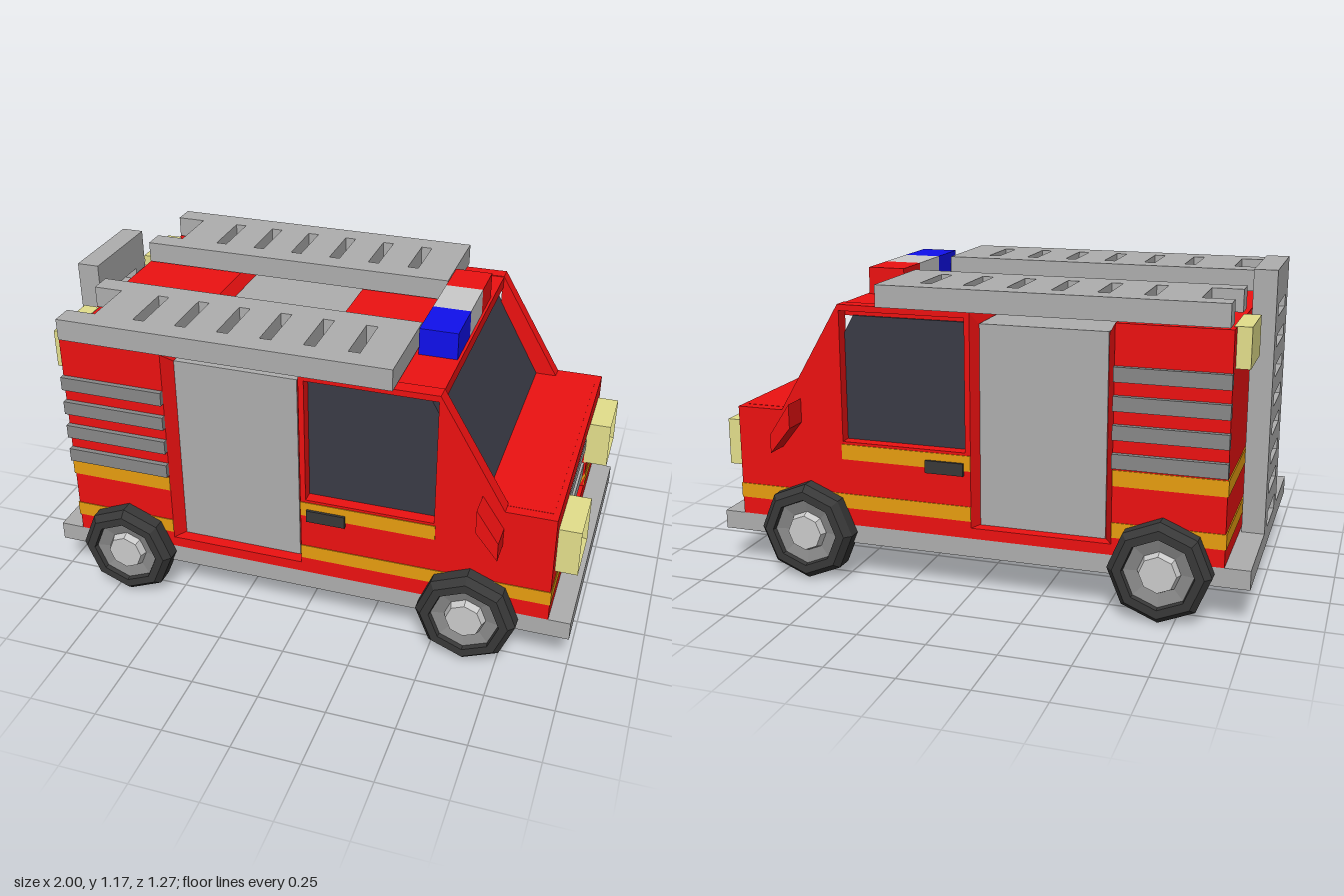
import * as THREE from 'three';

const RED = 0xee1111, GREY = 0xafafaf, DARK_GREY = 0x888888, ORANGE = 0xe89e10,
  CREAM = 0xe4e08c, GLASS = 0x3a3b46, BLACK = 0x383838, WHITE = 0xcccccc, BLUE = 0x1010ee;

export function createModel() {
  const model = new THREE.Group();
  model.name = 'fireTruck';
  const truck = new THREE.Group();
  truck.name = 'truck';
  truck.position.z = -0.01;
  model.add(truck);

  const materials = {};
  const mat = (color) => (materials[color] ??= new THREE.MeshStandardMaterial({ color, flatShading: true }));

  function add(name, geometry, color) {
    const mesh = new THREE.Mesh(geometry, mat(color));
    mesh.name = name;
    truck.add(mesh);
    return mesh;
  }

  // Box given by its limits on each axis
  function box(name, color, x0, x1, y0, y1, z0, z1) {
    const g = new THREE.BoxGeometry(x1 - x0, y1 - y0, Math.abs(z1 - z0));
    g.translate((x0 + x1) / 2, (y0 + y1) / 2, (z0 + z1) / 2);
    return add(name, g, color);
  }

  // Rectangular cross-sections [x, z0, z1, y0, y1] joined along x
  function loft(name, color, sections) {
    const pos = [], index = [];
    for (const [x, z0, z1, y0, y1] of sections) {
      pos.push(x, y0, z1, x, y0, z0, x, y1, z0, x, y1, z1);
    }
    for (let i = 0; i < sections.length - 1; i++) {
      for (let k = 0; k < 4; k++) {
        const a = i * 4 + k, b = i * 4 + (k + 1) % 4;
        index.push(a, b, b + 4, a, b + 4, a + 4);
      }
    }
    const e = (sections.length - 1) * 4;
    index.push(0, 2, 1, 0, 3, 2, e, e + 1, e + 2, e, e + 2, e + 3);
    const g = new THREE.BufferGeometry();
    g.setAttribute('position', new THREE.Float32BufferAttribute(pos, 3));
    g.setIndex(index);
    const flat = g.toNonIndexed();
    flat.computeVertexNormals();
    return add(name, flat, color);
  }

  const shape = (points) => new THREE.Shape(points.map(([x, y]) => new THREE.Vector2(x, y)));
  const rectPath = (x0, x1, y0, y1) => new THREE.Path(
    [[x0, y0], [x0, y1], [x1, y1], [x1, y0]].map(([x, y]) => new THREE.Vector2(x, y)));
  const extrude = (s, depth) => new THREE.ExtrudeGeometry(s, { depth, bevelEnabled: false });

  // Slotted ladder lying along +x, with an open notch at x = 0
  function ladderGeometry(length, half, slotHalf, notch, depth, slots, slotWidth) {
    const s = shape([[0, -half], [length, -half], [length, half], [0, half],
      [0, slotHalf], [notch, slotHalf], [notch, -slotHalf], [0, -slotHalf]]);
    for (const x of slots) s.holes.push(rectPath(x, x + slotWidth, -slotHalf, slotHalf));
    return extrude(s, depth);
  }

  // Base plate and bumpers
  box('basePlate', GREY, -1, 1, 0.14, 0.21, -0.54, 0.54);

  // Rear body, with a shallow channel for the shutter
  loft('rearBody', RED, [
    [-0.91, -0.54, 0.54, 0.21, 1.03], [-0.515, -0.54, 0.54, 0.21, 1.03],
    [-0.485, -0.49, 0.49, 0.21, 0.985], [-0.02, -0.49, 0.49, 0.21, 0.985],
    [0, -0.54, 0.54, 0.21, 1.035], [0.015, -0.54, 0.54, 0.21, 1.035],
  ]);
  box('shutter', GREY, -0.484, -0.021, 0.25, 0.99, -0.495, 0.495);
  box('shutterSill', RED, -0.515, 0, 0.21, 0.25, -0.54, 0.54);

  // Cab core, roof and windscreen
  box('cabCore', RED, 0, 0.89, 0.21, 0.63, -0.487, 0.487);
  box('cabRoof', RED, 0, 0.5, 0.99, 1.035, -0.487, 0.487);
  const glass = extrude(shape([[0.005, 0.525], [0.66, 0.525], [0.66, 0.63], [0.46, 0.992], [0.005, 0.992]]), 0.99);
  add('cabGlass', glass.translate(0, 0, -0.495), GLASS);
  box('bonnetRear', RED, 0.655, 0.9, 0.5, 0.631, -0.5, 0.5);

  // Nose panel around the recessed grille
  box('nosePanelTop', RED, 0.88, 0.92, 0.56, 0.63, -0.487, 0.487);
  box('nosePanelBottom', RED, 0.88, 0.92, 0.21, 0.272, -0.487, 0.487);
  for (const [y0, y1] of [[0.32, 0.38], [0.44, 0.49]]) {
    box('grilleBar', GREY, 0.88, 0.912, y0, y1, -0.26, 0.26);
  }

  for (const s of [1, -1]) {
    // Cab side with window opening and sloping pillar
    const side = shape([[0, 0.21], [0.92, 0.21], [0.92, 0.63], [0.74, 0.63], [0.5, 1.038], [0, 1.035]]);
    side.holes.push(rectPath(0.02, 0.495, 0.53, 1.015));
    add('cabSide', extrude(side, 0.055).translate(0, 0, s > 0 ? 0.485 : -0.54), RED);

    box('nosePanelSide', RED, 0.88, 0.92, 0.27, 0.565, s * 0.26, s * 0.487);

    // Headlight with a dished face
    const [za, zb] = s > 0 ? [0.26, 0.485] : [-0.485, -0.26];
    loft('headlight', CREAM, [
      [0.91, za, zb, 0.383, 0.56], [1, za, zb, 0.383, 0.56],
      [0.97, za + 0.02, zb - 0.02, 0.403, 0.54],
    ]);
    box('rearLight', CREAM, -0.96, -0.9, 0.89, 1.032, s * 0.255, s * 0.487);

    // Stripes
    const z0 = s * 0.53, z1 = s * 0.543;
    box('rearLowerStripe', ORANGE, -0.913, -0.515, 0.275, 0.33, z0, z1);
    box('rearUpperStripe', ORANGE, -0.913, -0.515, 0.463, 0.52, z0, z1);
    box('cabLowerStripe', ORANGE, 0, 0.923, 0.275, 0.33, z0, z1);
    box('cabUpperStripe', ORANGE, 0, 0.5, 0.463, 0.52, z0, z1);
    box('noseStripe', ORANGE, 0.9, 0.923, 0.275, 0.33, s * 0.26, z1);

    // Louvres on the rear locker
    for (let i = 0; i < 4; i++) {
      const y = 0.53 + i * 0.101;
      box('louvre', DARK_GREY, -0.912, -0.515, y, y + 0.052, s * 0.53, s * 0.56);
    }

    box('doorHandle', BLACK, 0.025, 0.17, 0.445, 0.492, s * 0.53, s * 0.553);

    // Wing mirror
    const mirror = extrude(shape([[0.66, 0.59], [0.74, 0.49], [0.74, 0.56], [0.66, 0.68]]), 0.115);
    add('wingMirror', mirror.translate(0, 0, s > 0 ? 0.52 : -0.635), RED);

    // Roof ladder
    const ladder = ladderGeometry(1.24, 0.188, 0.105, 0.11, 0.08,
      [0, 1, 2, 3, 4, 5].map((i) => 0.26 + i * 0.16), 0.042);
    ladder.rotateX(Math.PI / 2).translate(-0.9, 1.12, s * 0.376 - 0.004);
    add('roofLadder', ladder, GREY);

    // Eight-sided wheels
    for (const x of [-0.695, 0.632]) {
      const parts = [
        ['tyre', BLACK, [[0, 0], [0.15, 0], [0.183, 0.02], [0.183, 0.09], [0.16, 0.115], [0.128, 0.115], [0.122, 0.09]]],
        ['rim', DARK_GREY, [[0.127, 0.098], [0.075, 0.085]]],
        ['hub', WHITE, [[0.078, 0.08], [0.066, 0.112], [0, 0.112]]],
      ];
      for (const [name, color, profile] of parts) {
        const g = new THREE.LatheGeometry(profile.map(([r, h]) => new THREE.Vector2(r, h)), 8);
        const wheel = add(name, g, color);
        wheel.rotation.x = s * Math.PI / 2;
        wheel.position.set(x, 0.184, s * 0.498);
      }
    }
  }

  // Stripes across the back
  for (const [y0, y1] of [[0.275, 0.33], [0.463, 0.52]]) {
    box('backStripe', ORANGE, -0.914, -0.9, y0, y1, -0.543, 0.543);
  }

  // Upright ladder on the back
  const backLadder = ladderGeometry(0.965, 0.187, 0.11, 0.06, 0.083,
    [0, 1, 2, 3, 4, 5, 6].map((i) => 0.13 + i * 0.11), 0.045);
  backLadder.rotateZ(Math.PI / 2).rotateY(Math.PI / 2).translate(-1, 0.21, 0.015);
  add('backLadder', backLadder, GREY);

  // Warning light bar
  box('lightBarRed', RED, 0.35, 0.49, 1.03, 1.135, -0.28, -0.12);
  box('lightBarWhite', WHITE, 0.35, 0.49, 1.03, 1.135, -0.12, 0.075);
  box('lightBarBlue', BLUE, 0.35, 0.49, 1.03, 1.135, 0.075, 0.265);

  return model;
}
